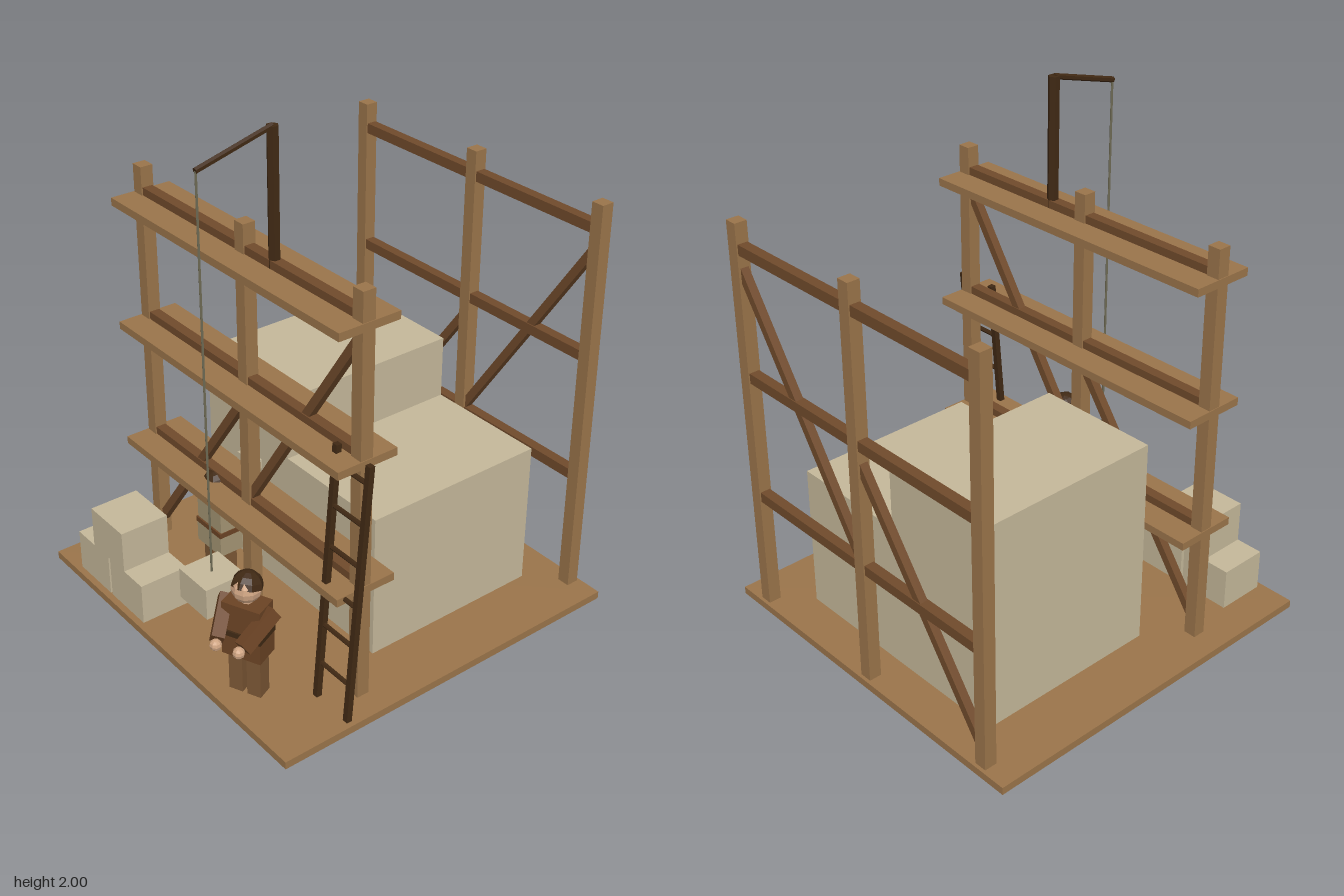
import * as THREE from 'three';

const mat = (name, color) => Object.assign(new THREE.MeshStandardMaterial({ color, flatShading: true }), { name });

export function createModel() {
  const model = new THREE.Group();
  model.name = 'buildingSite';
  const wood = mat('wood', 0x9a744a);
  const darkWood = mat('darkWood', 0x704a2b);
  const oldWood = mat('oldWood', 0x402914);
  const stone = mat('stone', 0xc4b799);
  const rope = mat('rope', 0x6e6a54);
  const skin = mat('skin', 0xd0a583);
  const brownCloth = mat('brownCloth', 0x6b4324);
  const greyCloth = mat('greyCloth', 0xa39473);
  const hose = mat('hose', 0x7a5634);

  const add = (parent, name, geometry, material, x = 0, y = 0, z = 0) => {
    const mesh = new THREE.Mesh(geometry, material);
    mesh.name = name;
    mesh.position.set(x, y, z);
    parent.add(mesh);
    return mesh;
  };
  // Box given by its limits on each axis
  const block = (parent, name, material, [x0, x1], [y0, y1], [z0, z1]) =>
    add(parent, name, new THREE.BoxGeometry(x1 - x0, y1 - y0, z1 - z0), material,
      (x0 + x1) / 2, (y0 + y1) / 2, (z0 + z1) / 2);
  // Square or round bar between two points
  const bar = (parent, name, material, from, to, width, depth = width, sides = 0) => {
    const a = new THREE.Vector3(...from), b = new THREE.Vector3(...to);
    const dir = b.clone().sub(a), length = dir.length();
    const geometry = sides ? new THREE.CylinderGeometry(width / 2, width / 2, length, sides)
      : new THREE.BoxGeometry(width, length, depth);
    const mesh = add(parent, name, geometry, material);
    mesh.position.copy(a).add(b).multiplyScalar(0.5);
    mesh.quaternion.setFromUnitVectors(new THREE.Vector3(0, 1, 0), dir.normalize());
    return mesh;
  };

  block(model, 'ground', wood, [-0.745, 0.745], [0.005, 0.035], [-0.76, 0.727]);

  // Two timber frames with posts, rails and braces
  for (const z of [0.315, -0.722]) {
    const frame = new THREE.Group();
    frame.name = z > 0 ? 'frontFrame' : 'backFrame';
    model.add(frame);
    for (const x of [-0.62, 0, 0.62])
      block(frame, 'post', wood, [x - 0.025, x + 0.025], [0.02, 1.61], [z - 0.025, z + 0.025]);
    for (const y of [0.515, 1.015, 1.512])
      block(frame, 'rail', darkWood, [-0.61, 0.61], [y - 0.02, y + 0.02], [z - 0.02, z + 0.02]);
    bar(frame, 'brace', darkWood, [-0.62, 0.09, z], [0, 0.95, z], 0.032);
    bar(frame, 'brace', darkWood, [0, 0.52, z], [0.62, 1.45, z], 0.032);
  }

  // Walkways on the front frame
  for (const y of [0.475, 0.975, 1.472])
    block(model, 'walkway', wood, [-0.648, 0.648], [y, y + 0.03], [0.19, 0.436]);

  // Unfinished wall and the pile of cut stones
  block(model, 'highWall', stone, [-0.5, -0.003], [0.03, 0.865], [-0.6, 0.147]);
  block(model, 'lowWall', stone, [-0.003, 0.495], [0.03, 0.615], [-0.6, 0.147]);
  block(model, 'pileStone', stone, [-0.602, -0.39], [0.03, 0.2], [0.505, 0.702]);
  block(model, 'pileStone', stone, [-0.378, -0.16], [0.03, 0.2], [0.505, 0.702]);
  block(model, 'pileStone', stone, [-0.49, -0.278], [0.2, 0.367], [0.505, 0.702]);

  // Crane with a stone on the rope
  const crane = new THREE.Group();
  crane.name = 'crane';
  model.add(crane);
  bar(crane, 'mast', oldWood, [0.163, 1.5, 0.315], [0.163, 1.99, 0.315], 0.042, 0, 6);
  bar(crane, 'boom', oldWood, [0.163, 1.988, 0.315], [0.163, 1.91, 0.608], 0.022, 0, 6);
  bar(crane, 'hoistRope', rope, [0.163, 0.41, 0.605], [0.163, 1.91, 0.605], 0.009, 0, 6);
  block(crane, 'hoistedStone', stone, [0.081, 0.246], [0.295, 0.418], [0.522, 0.686]);

  // Leaning ladder
  const ladder = new THREE.Group();
  ladder.name = 'ladder';
  model.add(ladder);
  for (const x of [0.547, 0.713])
    bar(ladder, 'ladderRail', oldWood, [x, 0.035, 0.44], [x, 1.035, 0.358], 0.022);
  for (let i = 0; i < 6; i++) {
    const y = 0.18 + i * 0.157, z = 0.44 - (y - 0.035) * 0.082;
    bar(ladder, 'rung', oldWood, [0.547, y, z], [0.713, y, z], 0.018, 0, 6);
  }

  // Workers stand at the origin and face +z before placing
  const makeWorker = (name, cloth, beltMaterial) => {
    const worker = new THREE.Group();
    worker.name = name;
    model.add(worker);
    block(worker, 'tunicSkirt', cloth, [-0.076, 0.076], [0.2, 0.285], [-0.05, 0.05]);
    block(worker, 'belt', beltMaterial, [-0.079, 0.079], [0.283, 0.303], [-0.053, 0.053]);
    block(worker, 'torso', cloth, [-0.075, 0.075], [0.3, 0.415], [-0.046, 0.046]);
    add(worker, 'neck', new THREE.CylinderGeometry(0.022, 0.022, 0.03, 8), skin, 0, 0.425, 0);
    add(worker, 'head', new THREE.SphereGeometry(0.055, 10, 8), skin, 0, 0.472, 0);
    const hair = add(worker, 'hair', new THREE.SphereGeometry(0.058, 8, 4, 0, Math.PI * 2, 0, Math.PI / 2),
      oldWood, 0, 0.475, -0.003);
    hair.rotation.x = -0.3;
    hair.material.side = THREE.DoubleSide;
    for (const s of [-1, 1]) {
      block(worker, 'leg', hose, [s * 0.036 - 0.027, s * 0.036 + 0.027], [0.002, 0.21], [-0.03, 0.03]);
      bar(worker, 'sleeve', cloth, [s * 0.094, 0.395, -0.015], [s * 0.05, 0.315, 0.12], 0.046, 0.05);
      add(worker, 'hand', new THREE.SphereGeometry(0.022, 8, 6), skin, s * 0.045, 0.306, 0.137);
    }
    return worker;
  };

  const hauler = makeWorker('hauler', brownCloth, oldWood);
  hauler.position.set(0.37, 0, 0.603);
  hauler.rotation.y = 0.42;

  const mason = makeWorker('mason', greyCloth, brownCloth);
  mason.position.set(-0.208, 0, 0.317);
  mason.rotation.y = Math.PI;
  // Mallet held upright
  bar(mason, 'malletHandle', oldWood, [0, 0.28, 0.137], [0, 0.51, 0.145], 0.014, 0, 6);
  block(mason, 'malletHead', stone, [-0.05, 0.05], [0.497, 0.535], [0.125, 0.165]);

  return model;
}
